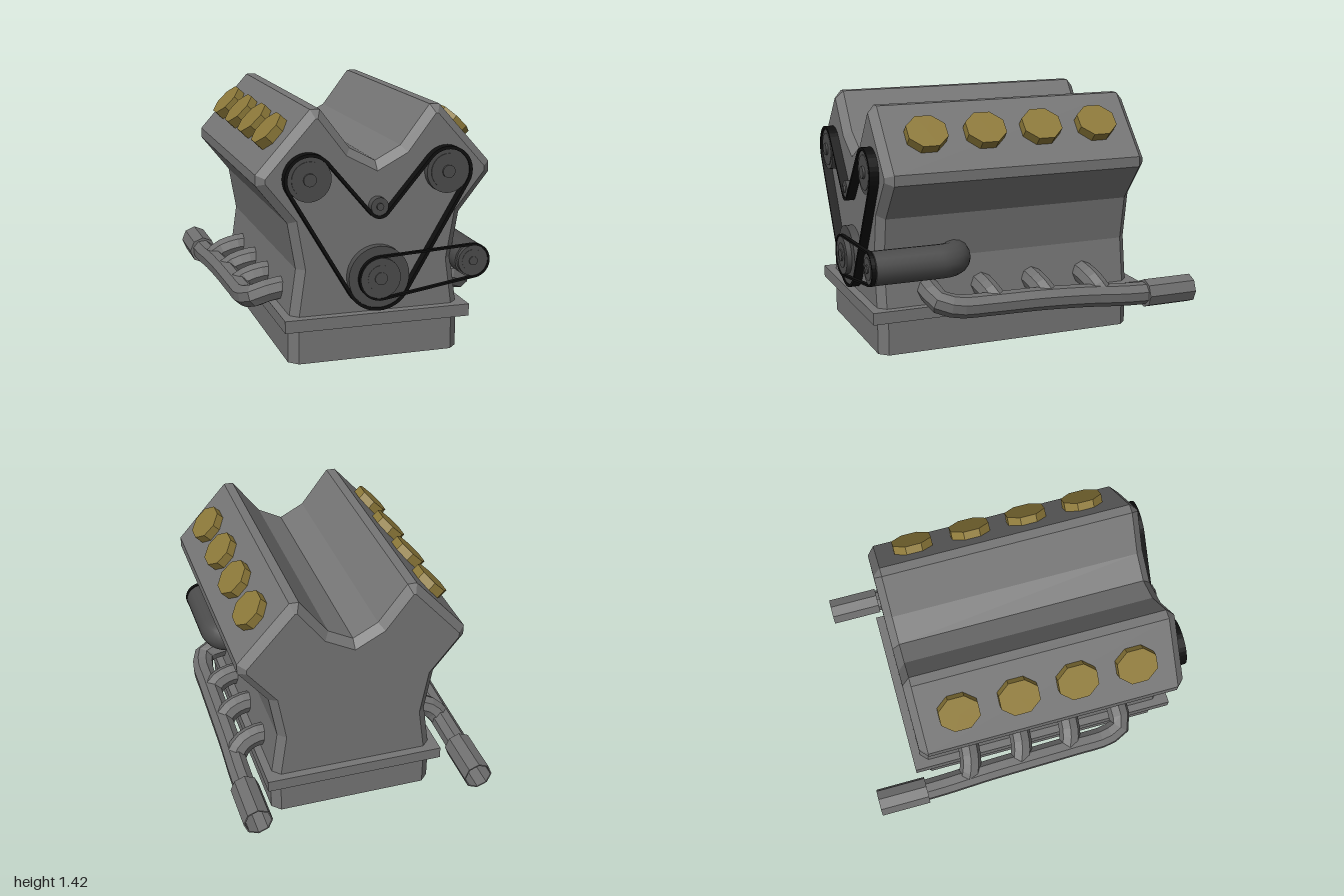
import * as THREE from 'three';

const mat = (name, color) => {
  const m = new THREE.MeshStandardMaterial({ color });
  m.name = name;
  return m;
};
const V = (x, y, z) => new THREE.Vector3(x, y, z);

// Facet a geometry so that every face has its own normal
function flat(geo) {
  const g = geo.index ? geo.toNonIndexed() : geo;
  g.computeVertexNormals();
  return g;
}

// Points of a belt running counter-clockwise round pulleys [x, y, signed radius];
// a negative radius means the belt bends the other way round that pulley
function beltPoints(pulleys, offset) {
  const n = pulleys.length;
  const angles = pulleys.map((a, i) => {
    const b = pulleys[(i + 1) % n];
    const dx = b[0] - a[0], dy = b[1] - a[1];
    return Math.atan2(dy, dx) - Math.acos((a[2] - b[2]) / Math.hypot(dx, dy));
  });
  const pts = [];
  pulleys.forEach(([x, y, r], i) => {
    const q = r + offset;
    const from = angles[(i + n - 1) % n];
    let sweep = (angles[i] - from) % (2 * Math.PI);
    if (r > 0 && sweep < 0) sweep += 2 * Math.PI;
    if (r < 0 && sweep > 0) sweep -= 2 * Math.PI;
    for (let k = 0; k <= 16; k++) {
      const t = from + (sweep * k) / 16;
      pts.push(new THREE.Vector2(x + q * Math.cos(t), y + q * Math.sin(t)));
    }
  });
  return pts;
}

function beltGeometry(pulleys, thickness, z0, z1) {
  const shape = new THREE.Shape(beltPoints(pulleys, thickness));
  shape.holes.push(new THREE.Path(beltPoints(pulleys, 0)));
  const g = new THREE.ExtrudeGeometry(shape, { depth: z1 - z0, bevelEnabled: false });
  return g.translate(0, 0, z0);
}

export function createModel() {
  const model = new THREE.Group();
  model.name = 'engine';
  const iron = mat('iron grey', 0x767676);
  const pipeGrey = mat('pipe grey', 0x707070);
  const dark = mat('dark steel', 0x4c4c4c);
  const rubber = mat('black rubber', 0x0e0e0e);
  const brass = mat('brass', 0x8e7a3a);

  const add = (name, geo, material, parent = model) => {
    const m = new THREE.Mesh(geo, material);
    m.name = name;
    parent.add(m);
    return m;
  };

  // V-shaped block with chamfered front and back edges
  const half = [[0.5, 0.22], [0.492, 0.28], [0.455, 0.54], [0.5, 0.8], [0.675, 1.02],
    [0.675, 1.08], [0.37, 1.42], [0.315, 1.42], [0.147, 1.2]];
  const outline = [...half, [0, 1.122], ...half.map(([x, y]) => [-x, y]).reverse()];
  const bevel = 0.045;
  const block = new THREE.ExtrudeGeometry(
    new THREE.Shape(outline.map(([x, y]) => new THREE.Vector2(x, y))),
    { depth: 1.5, bevelSize: bevel, bevelThickness: bevel, bevelOffset: -bevel, bevelSegments: 1 });
  add('engineBlock', block.translate(0, 0, -0.633), iron);

  // Oil pan with cut corners, and its flange
  const pw = 0.5, pd = 0.795, c = 0.05;
  const pan = new THREE.Shape([[pw, -pd + c], [pw, pd - c], [pw - c, pd], [-pw + c, pd],
    [-pw, pd - c], [-pw, -pd + c], [-pw + c, -pd], [pw - c, -pd]].map(([x, y]) => new THREE.Vector2(x, y)));
  const panGeo = new THREE.ExtrudeGeometry(pan, { depth: 0.21, bevelEnabled: false });
  add('oilPan', panGeo.rotateX(-Math.PI / 2).translate(0, 0, 0.117), iron);
  add('panFlange', new THREE.BoxGeometry(1.08, 0.07, 1.69).translate(0, 0.24, 0.117), iron);

  // Cylinder caps, exhaust manifold and tail pipe on each side
  for (const side of [1, -1]) {
    const bank = new THREE.Group();
    bank.name = side > 0 ? 'leftBank' : 'rightBank';
    model.add(bank);

    for (const z of [0.635, 0.285, -0.06, -0.41]) {
      const g = new THREE.CylinderGeometry(0.1245, 0.1245, 0.12, 8);
      g.rotateY(Math.PI / 8).scale(0.9, 1, 1).rotateZ(-side * Math.PI / 4);
      add('cylinderCap', flat(g.translate(side * 0.514, 1.252, z)), brass, bank);
    }

    const tube = (name, pts, segments, r) => {
      const path = new THREE.CatmullRomCurve3(pts.map(([x, y, z]) => V(side * x, y, z)));
      add(name, flat(new THREE.TubeGeometry(path, segments, r, 8)), pipeGrey, bank);
    };
    tube('exhaustManifold', [[0.42, 0.36, 0.61], [0.53, 0.355, 0.613], [0.615, 0.325, 0.6],
      [0.65, 0.295, 0.5], [0.655, 0.287, 0.3], [0.66, 0.283, 0], [0.663, 0.268, -0.3],
      [0.67, 0.248, -0.55], [0.672, 0.241, -0.72]], 22, 0.068);
    for (const z of [0.285, -0.035, -0.37]) {
      tube('exhaustPort', [[0.42, 0.36, z], [0.53, 0.352, z], [0.61, 0.32, z - 0.015],
        [0.655, 0.27, z - 0.04]], 6, 0.067);
    }

    // Hollow eight-sided tail pipe
    const profile = [[0, -0.155], [0.086, -0.155], [0.086, 0.155], [0.078, 0.155],
      [0.078, -0.13], [0, -0.13]].map(([x, y]) => new THREE.Vector2(x, y));
    const tail = new THREE.LatheGeometry(profile, 8).rotateX(-Math.PI / 2);
    add('tailPipe', flat(tail.translate(side * 0.672, 0.241, -0.845)), pipeGrey, bank);
  }

  // Pulleys: stacked discs [radius, back z, front z]
  const pulley = (name, x, y, discs) => {
    const g = new THREE.Group();
    g.name = name;
    model.add(g);
    for (const [r, z0, z1] of discs) {
      const d = new THREE.CylinderGeometry(r, r, z1 - z0, 32).rotateX(Math.PI / 2);
      add('disc', d.translate(x, y, (z0 + z1) / 2), dark, g);
    }
  };
  for (const s of [1, -1]) {
    pulley('camPulley', s * 0.398, 1.055, [[0.124, 0.9, 0.955], [0.1, 0.9, 0.96], [0.036, 0.9, 0.972]]);
  }
  pulley('idlerPulley', 0, 0.882, [[0.05, 0.9, 0.96], [0.02, 0.9, 0.972]]);
  pulley('crankPulley', 0, 0.482, [[0.176, 0.9, 0.96], [0.115, 0.95, 0.99], [0.075, 0.95, 0.993], [0.036, 0.95, 1]]);
  pulley('sidePulley', 0.545, 0.539, [[0.088, 0.95, 0.99], [0.065, 0.95, 0.993], [0.025, 0.95, 1]]);

  // Timing belt and accessory belt
  const timing = [[0, 0.482, 0.176], [0.398, 1.055, 0.124], [0, 0.882, -0.068], [-0.398, 1.055, 0.124]];
  add('timingBelt', beltGeometry(timing, 0.018, 0.912, 0.965), rubber);
  const accessory = [[0, 0.482, 0.115], [0.545, 0.539, 0.088]];
  add('accessoryBelt', beltGeometry(accessory, 0.012, 0.97, 0.995), rubber);

  // Side housing: a round tube that runs back and turns into the block
  const housing = new THREE.CurvePath();
  const y = 0.539;
  housing.add(new THREE.LineCurve3(V(0.545, y, 0.965), V(0.545, y, 0.57)));
  housing.add(new THREE.QuadraticBezierCurve3(V(0.545, y, 0.57), V(0.545, y, 0.45), V(0.425, y, 0.45)));
  housing.add(new THREE.LineCurve3(V(0.425, y, 0.45), V(0.36, y, 0.45)));
  add('sideHousing', new THREE.TubeGeometry(housing, 36, 0.099, 16), dark);
  add('sideHousingFace', new THREE.CircleGeometry(0.099, 16).translate(0.545, y, 0.965), dark);

  return model;
}
